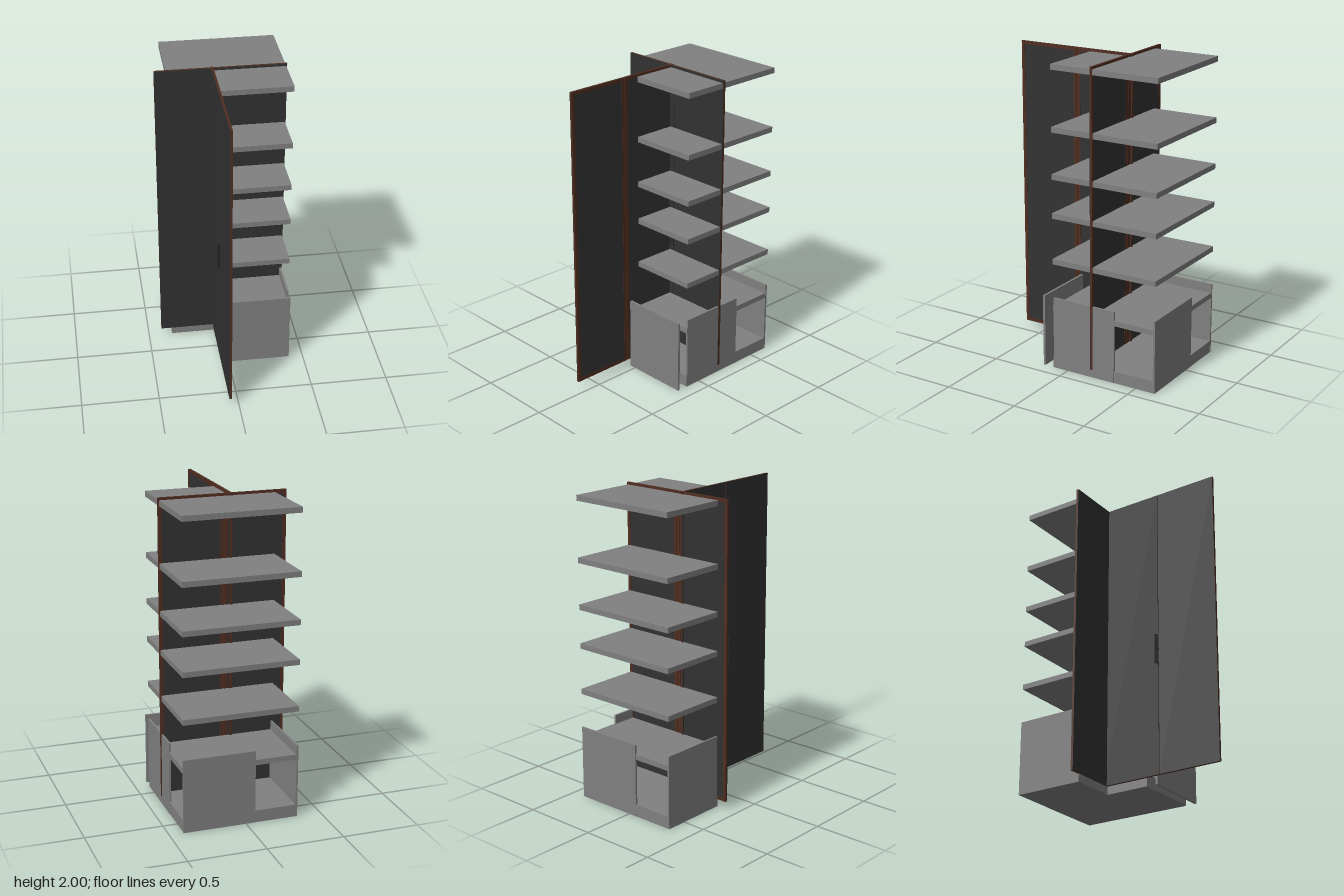
import * as THREE from 'three';

const grey = new THREE.MeshStandardMaterial({ name: 'grey board', color: 0x808080 });
const black = new THREE.MeshStandardMaterial({ name: 'black panel', color: 0x323232 });
const brown = new THREE.MeshStandardMaterial({ name: 'brown frame', color: 0x502d20 });

// Box given by its lower and upper limits
function box(name, material, [x0, x1], [y0, y1], [z0, z1]) {
  const mesh = new THREE.Mesh(new THREE.BoxGeometry(x1 - x0, y1 - y0, z1 - z0), material);
  mesh.position.set((x0 + x1) / 2, (y0 + y1) / 2, (z0 + z1) / 2);
  mesh.name = name;
  return mesh;
}

// L-shaped corner board
function cornerBoard(name, y0, y1) {
  const outline = [[-0.34, 0.636], [-0.34, 0.18], [-0.042, 0.18], [-0.042, -0.11], [0.407, -0.11], [0.407, 0.636]];
  const shape = new THREE.Shape(outline.map(([x, y]) => new THREE.Vector2(x, y)));
  const geometry = new THREE.ExtrudeGeometry(shape, { depth: y1 - y0, bevelEnabled: false });
  geometry.rotateX(-Math.PI / 2);
  const mesh = new THREE.Mesh(geometry, grey);
  mesh.position.y = y0;
  mesh.name = name;
  return mesh;
}

// Door from x0 to x1: black sheet on the outside (+z), frame on the inside
function door(name, x0, x1) {
  const g = new THREE.Group();
  const low = 0.052, high = 2, w = 0.022, inner = [-0.008, 0.0065];
  g.name = name;
  g.add(
    box('doorSheet', black, [x0, x1], [low, high], [0.0065, 0.008]),
    box('doorPanel', black, [x0 + w, x1 - w], [low + w, high - w], [-0.006, 0.0065]),
    box('frameStile', brown, [x0, x0 + w], [low, high], inner),
    box('frameStile', brown, [x1 - w, x1], [low, high], inner),
    box('frameRail', brown, [x0 + w, x1 - w], [low, low + w], inner),
    box('frameRail', brown, [x0 + w, x1 - w], [high - w, high], inner)
  );
  return g;
}

// Two doors meeting at a seam, with flared edge handles
function doorPair(name, leftWidth, rightWidth) {
  const g = new THREE.Group();
  g.name = name;
  g.add(door('firstDoor', -leftWidth, -0.002), door('secondDoor', 0.002, rightWidth));
  for (const side of [-1, 1]) {
    const handle = new THREE.Mesh(new THREE.BoxGeometry(0.003, 0.2, 0.025), black);
    handle.position.set(side * 0.009, 0.88, 0.019);
    handle.rotation.y = side * 0.5;
    handle.name = 'edgeHandle';
    g.add(handle);
  }
  return g;
}

export function createModel() {
  const model = new THREE.Group();
  model.name = 'cornerCupboard';

  // Corner shelves
  for (const y of [0.705, 1.007, 1.26, 1.56, 1.95]) model.add(cornerBoard('shelf', y, y + 0.035));

  // Open base cabinet
  model.add(
    cornerBoard('plinth', 0, 0.037),
    cornerBoard('baseFloor', 0.037, 0.08),
    cornerBoard('baseShelf', 0.385, 0.42),
    box('rightBaseWall', grey, [-0.342, -0.33], [0, 0.48], [-0.637, -0.181]),
    box('leftBaseWall', grey, [0.396, 0.409], [0, 0.48], [-0.345, 0.105]),
    box('backBaseWall', grey, [-0.06, 0.409], [0, 0.48], [-0.638, -0.625]),
    box('baseFront', grey, [-0.042, 0.407], [0, 0.48], [0.171, 0.186])
  );

  // Door pairs: one across the front, one at right angles to it
  const frontDoors = doorPair('frontDoors', 0.407, 0.421);
  frontDoors.position.set(-0.008, 0, -0.181);
  const sideDoors = doorPair('sideDoors', 0.41, 0.422);
  sideDoors.position.set(-0.053, 0, 0.213);
  sideDoors.rotation.y = -Math.PI / 2;
  model.add(frontDoors, sideDoors);

  return model;
}
